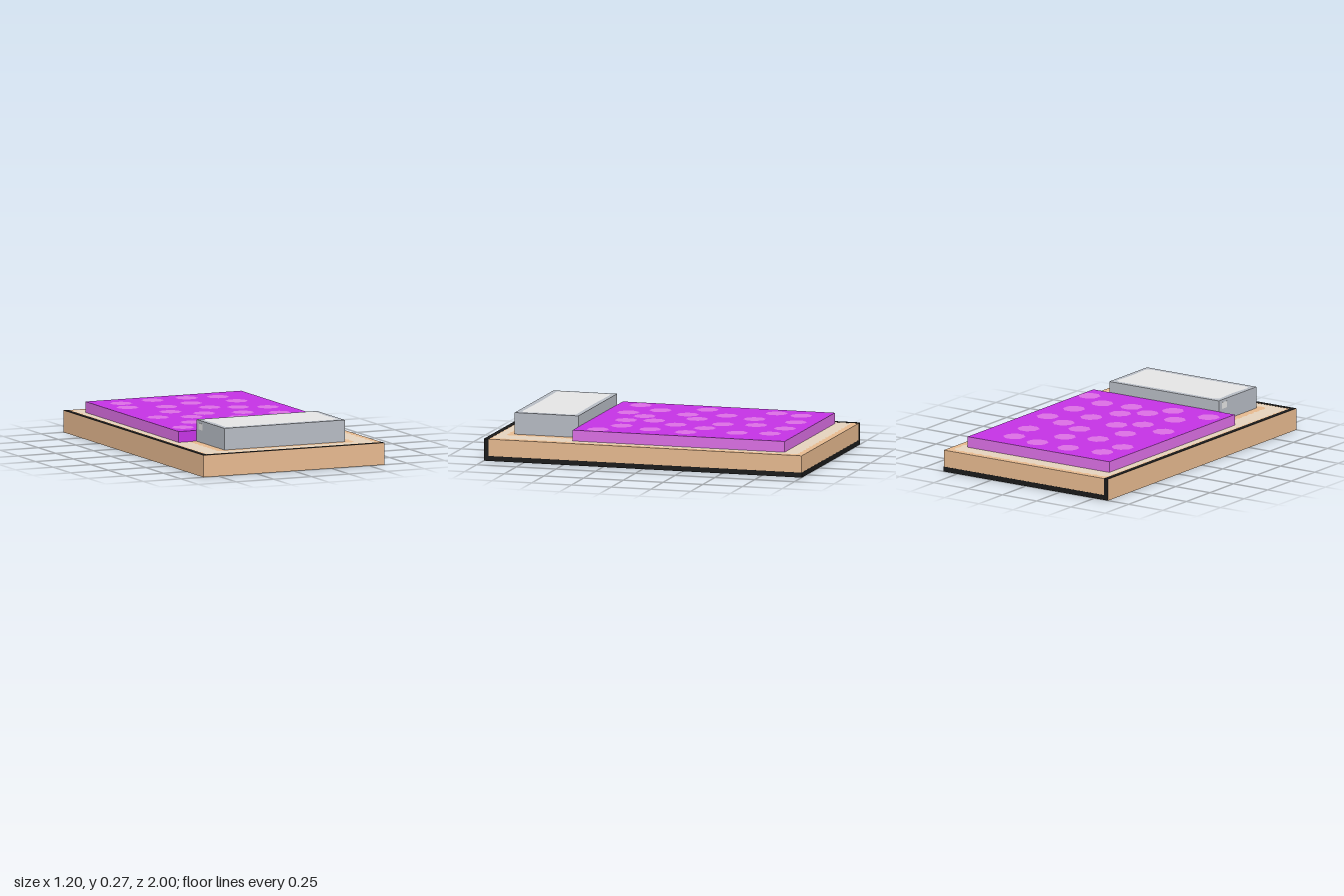
import * as THREE from 'three';

const paint = (name, color) => {
  const m = new THREE.MeshStandardMaterial({ color });
  m.name = name;
  return m;
};

export function createModel() {
  const model = new THREE.Group();
  model.name = 'bed';
  const tan = paint('tan', 0xe6b98f);
  const beige = paint('beige', 0xe4d2bc);
  const black = paint('black', 0x1a1a1a);
  const purple = paint('purple', 0xc433e4);
  const lilac = paint('lilac', 0xdb6fe4);
  const grey = paint('grey', 0xb6bbc3);
  const paleGrey = paint('paleGrey', 0xe4e4e4);

  const add = (name, geometry, material) => {
    const mesh = new THREE.Mesh(geometry, material);
    mesh.name = name;
    model.add(mesh);
    return mesh;
  };
  const box = (name, x0, x1, y0, y1, z0, z1, material) =>
    add(name, new THREE.BoxGeometry(x1 - x0, y1 - y0, z1 - z0), material)
      .position.set((x0 + x1) / 2, (y0 + y1) / 2, (z0 + z1) / 2);

  // Flat upward-facing panel from a list of [x, z] points
  const topPanel = (name, points, y, material) => {
    const shape = new THREE.Shape(points.map(([x, z]) => new THREE.Vector2(x, -z)));
    const geometry = new THREE.ShapeGeometry(shape).rotateX(-Math.PI / 2);
    add(name, geometry, material).position.y = y;
  };
  // Rectangle outline whose edges are waved by small scallops
  const scalloped = (x0, x1, z0, z1, depth, pitch) => {
    const corners = [[x0, z0], [x0, z1], [x1, z1], [x1, z0]];
    const points = [];
    corners.forEach(([ax, az], i) => {
      const [bx, bz] = corners[(i + 1) % 4];
      const length = Math.hypot(bx - ax, bz - az);
      const ux = (bx - ax) / length, uz = (bz - az) / length;
      const waves = Math.round(length / pitch), steps = waves * 6;
      for (let k = 0; k < steps; k++) {
        const inset = depth * (1 - Math.abs(Math.sin(Math.PI * waves * k / steps)));
        // keep the inset clear of the corners
        const t = depth + (length - 2 * depth) * k / steps;
        points.push([ax + ux * t + uz * inset, az + uz * t - ux * inset]);
      }
    });
    return points;
  };

  const W = 0.6, L = 1, H = 0.133, T = 0.03, E = 0.001;

  // Mattress: sides and top tan, underside beige
  add('mattress', new THREE.BoxGeometry(2 * W, H, 2 * L), [tan, tan, tan, beige, tan, tan])
    .position.y = H / 2;
  topPanel('sheet', scalloped(-0.565, 0.565, -0.965, 0.967, 0.012, 0.066), H + E, beige);
  topPanel('pillowSurround', scalloped(-0.455, 0.455, 0.4, 0.91, 0.012, 0.066), H + 2 * E, tan);

  // Black trim on two top edges, the left side and the back
  box('topTrimSide', -W, -W + T, H, H + E, -L, L, black);
  box('topTrimFront', -W + T, W, H, H + E, L - T, L, black);
  box('leftTrimBase', W, W + E, 0, T, -L, L, black);
  box('leftTrimEnd', W, W + E, T, H, L - T, L, black);
  box('backTrimBase', -W, W, 0, T, -L - E, -L, black);
  box('backTrimEnd', -W, -W + T, T, H, -L - E, -L, black);

  // Blanket with paler sides and back
  add('blanket', new THREE.BoxGeometry(1.034, 0.067, 1.334), [lilac, lilac, purple, purple, purple, lilac])
    .position.set(0, H + 0.0335, -0.2);

  // Blanket spots, one [x, z] centre each
  const spots = [
    [-0.355, -0.705], [-0.13, -0.74], [0.095, -0.74], [0.287, -0.705], [-0.39, -0.54],
    [-0.163, -0.47], [0.032, -0.54], [0.32, -0.507], [0.063, -0.34], [-0.228, -0.275],
    [0.223, -0.275], [0.387, -0.206], [-0.39, -0.105], [-0.068, -0.137], [-0.195, -0.04],
    [0.16, -0.073], [0.355, 0.028], [0.063, 0.092], [-0.29, 0.16], [-0.068, 0.193],
    [0.095, 0.26], [0.287, 0.228], [-0.423, 0.325], [-0.163, 0.325], [0.45, 0.328],
  ];
  const spotOutline = Array.from({ length: 8 }, (_, i) => {
    const a = -(i + 0.5) * Math.PI / 4;
    return [0.068 * Math.cos(a), 0.068 * Math.sin(a)];
  });
  spots.forEach(([x, z]) =>
    topPanel('blanketSpot', spotOutline.map(([px, pz]) => [x + px, z + pz]), 0.2 + E, lilac));

  // Pillow with a pale, round-cornered panel on top and a small pale mark on its right side
  box('pillow', -0.4, 0.4, H, 0.267, 0.467, 0.867, grey);
  const px = 0.374, z0 = 0.493, z1 = 0.835, c = 0.02;
  topPanel('pillowPanel', [
    [-px, z0 + c], [-px + 0.008, 0.665], [-px, z1 - c], [-px + c, z1], [0, z1 - 0.005], [px - c, z1],
    [px, z1 - c], [px - 0.008, 0.665], [px, z0 + c], [px - c, z0], [0, z0 + 0.005], [-px + c, z0],
  ], 0.267 + E, paleGrey);
  box('pillowMark', -0.4 - E, -0.4, 0.21, 0.25, 0.5, 0.555, paleGrey);

  return model;
}
